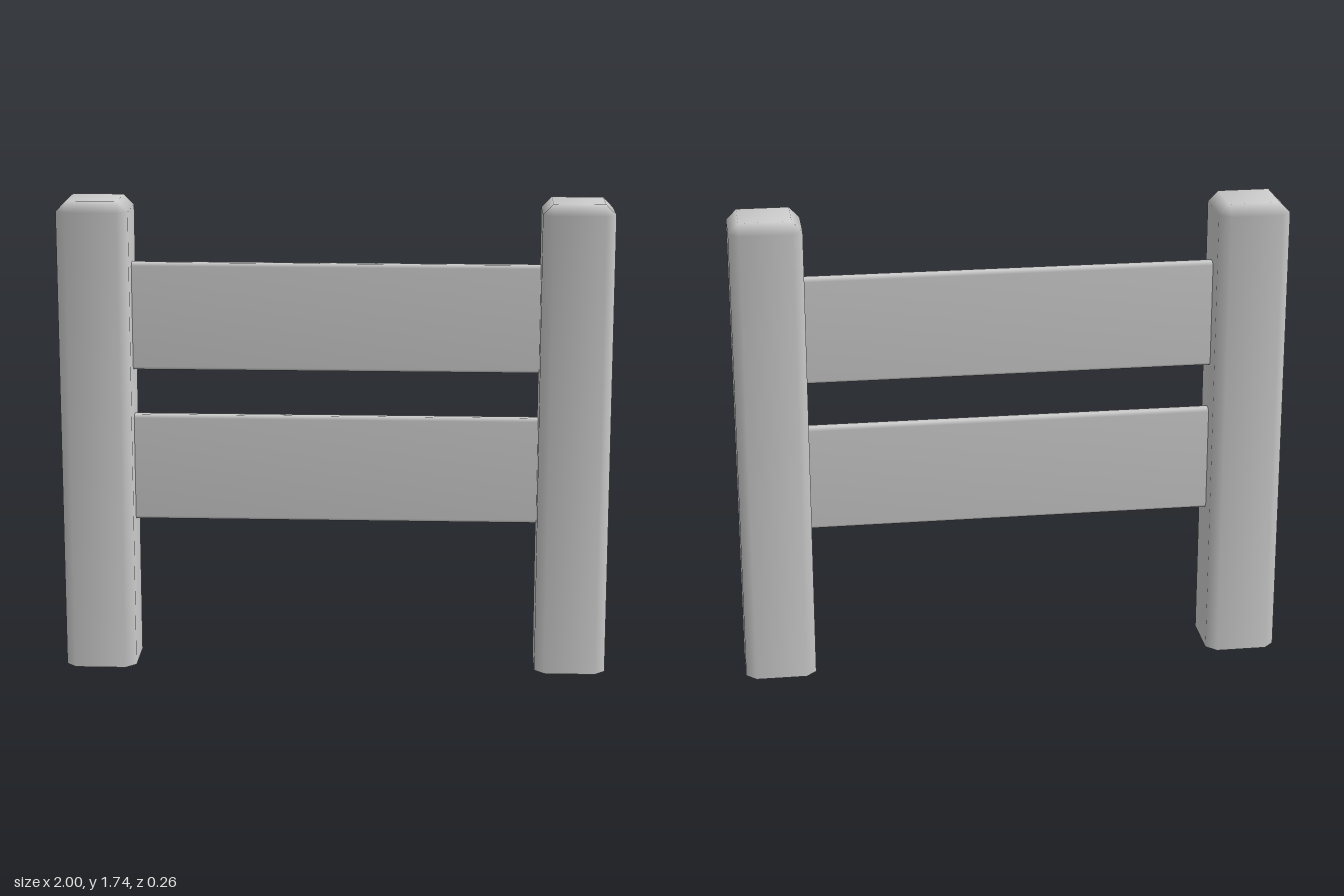
import * as THREE from 'three';
import { mergeVertices } from 'three/addons/utils/BufferGeometryUtils.js';

const material = new THREE.MeshStandardMaterial({ color: 0xcccccc, side: THREE.DoubleSide });

// Rectangle with cut corners, half sizes w and d, at height y
function ring(w, d, cut, y) {
  const a = w - cut, b = d - cut;
  return [[w, -b], [w, b], [a, d], [-a, d], [-w, b], [-w, -b], [-a, -d], [a, -d]]
    .map(([x, z]) => [x, y, z]);
}

// Smooth skin through a stack of rings, with an optional top face
function loft(rings, capped) {
  const n = 8, index = [];
  for (let r = 0; r < rings.length - 1; r++) {
    for (let i = 0; i < n; i++) {
      const a = r * n + i, b = r * n + (i + 1) % n;
      index.push(b, a, a + n, b, a + n, b + n);
    }
  }
  if (capped) {
    const o = (rings.length - 1) * n;
    for (let i = 1; i < n - 1; i++) index.push(o, o + i + 1, o + i);
  }
  const g = new THREE.BufferGeometry();
  g.setAttribute('position', new THREE.Float32BufferAttribute(rings.flat(2), 3));
  g.setIndex(index);
  const merged = mergeVertices(g);
  merged.computeVertexNormals();
  return merged;
}

export function createModel() {
  const group = new THREE.Group();
  const add = (name, geometry, x, y) => {
    const mesh = new THREE.Mesh(geometry, material);
    mesh.name = name;
    mesh.position.set(x, y, 0);
    group.add(mesh);
  };

  // Bevelled square posts, open underneath
  const post = loft([
    ring(0.13, 0.13, 0.037, 0),
    ring(0.13, 0.13, 0.037, 1.702),
    ring(0.093, 0.093, 0, 1.74),
  ], true);
  add('leftPost', post, 0.87, 0);
  add('rightPost', post, -0.87, 0);

  // Thin planks with softened long edges, running between the posts
  const plank = loft([
    ring(0.198, 0.024, 0.012, -0.74),
    ring(0.198, 0.024, 0.012, 0.74),
  ], false).rotateZ(Math.PI / 2);
  add('lowerRail', plank, 0, 0.743);
  add('upperRail', plank, 0, 1.308);

  return group;
}
